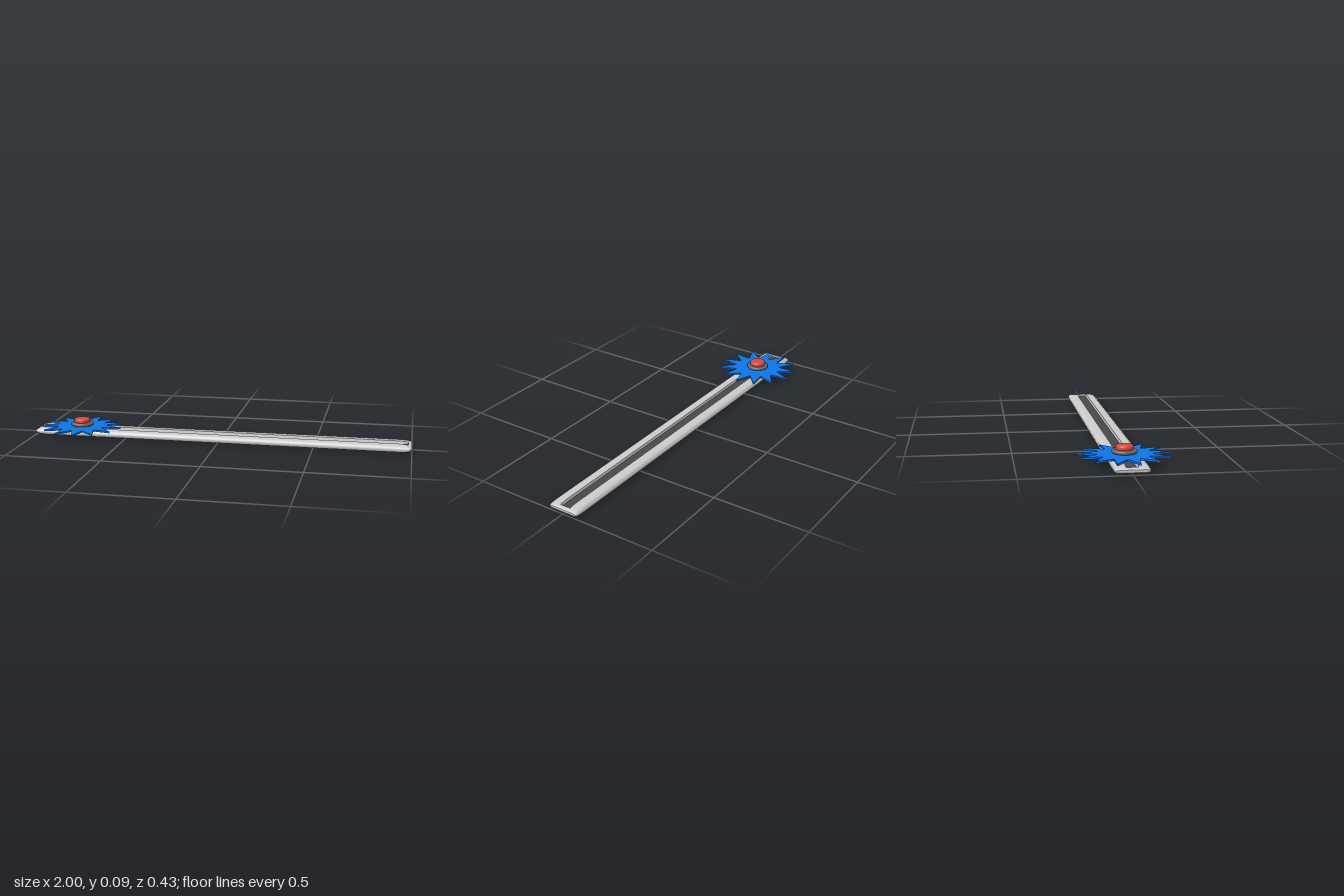
import * as THREE from 'three';
import { toCreasedNormals } from 'three/addons/utils/BufferGeometryUtils.js';

const HUB_X = -0.76;

function part(name, geometry, color = 0xcccccc) {
  const mesh = new THREE.Mesh(geometry, new THREE.MeshStandardMaterial({ color }));
  mesh.name = name;
  return mesh;
}

// Closed cross-section of the rail at one station, as [z, y] pairs
function railSection({ half, low, high, floor }) {
  const h = high - low;
  const side = [[0.7, 0], [0.86, 0.05], [0.95, 0.17], [1, 0.35], [1, 0.65], [0.95, 0.83], [0.85, 0.95], [0.7, 1]]
    .map(([z, y]) => [z * half, low + y * h]);
  const slot = [[0.028, high], [0.025, floor], [-0.025, floor], [-0.028, high]];
  const mirrored = side.map(([z, y]) => [-z, y]);
  return [...mirrored, ...slot.reverse(), ...side.reverse()];
}

function railGeometry() {
  // Half-length stations: the ends taper, and the slot stops short of them
  const half = [
    { x: 0, half: 0.08, low: 0, high: 0.036, floor: 0.02 },
    { x: 0.94, half: 0.08, low: 0, high: 0.036, floor: 0.02 },
    { x: 0.965, half: 0.08, low: 0.002, high: 0.034, floor: 0.02 },
    { x: 0.98, half: 0.08, low: 0.004, high: 0.032, floor: 0.02 },
    { x: 0.981, half: 0.08, low: 0.004, high: 0.032, floor: 0.032 },
    { x: 0.995, half: 0.079, low: 0.008, high: 0.028, floor: 0.028 },
    { x: 1, half: 0.076, low: 0.012, high: 0.024, floor: 0.024 },
  ];
  const stations = [...half.slice(1).reverse().map((s) => ({ ...s, x: -s.x })), ...half];
  const positions = [], index = [];
  let count = 0;
  for (const s of stations) {
    const section = railSection(s);
    count = section.length;
    for (const [z, y] of section) positions.push(s.x, y, z);
  }
  const last = stations.length - 1;
  for (let i = 0; i < last; i++) {
    for (let j = 0; j < count; j++) {
      const k = (j + 1) % count;
      const a = i * count + j, b = i * count + k, c = a + count, d = b + count;
      index.push(a, b, c, b, d, c);
    }
  }
  // End caps
  for (let j = 1; j < count - 1; j++) {
    index.push(0, j + 1, j);
    index.push(last * count, last * count + j, last * count + j + 1);
  }
  const geometry = new THREE.BufferGeometry();
  geometry.setAttribute('position', new THREE.Float32BufferAttribute(positions, 3));
  geometry.setIndex(index);
  return toCreasedNormals(geometry, 0.75);
}

// Thin star-shaped disc with thirteen pointed teeth
function bladeGeometry() {
  const teeth = 13, phase = THREE.MathUtils.degToRad(-3.2);
  const points = [];
  for (let i = 0; i < teeth * 2; i++) {
    const angle = phase + (i * Math.PI) / teeth;
    const radius = i % 2 ? 0.125 : 0.218;
    points.push(new THREE.Vector2(Math.cos(angle) * radius, Math.sin(angle) * radius));
  }
  const geometry = new THREE.ExtrudeGeometry(new THREE.Shape(points), { depth: 0.009, bevelEnabled: false });
  return geometry.rotateX(-Math.PI / 2);
}

// Round disc with a softly rounded rim
function roundedDisc(radius, height, rim) {
  const profile = [new THREE.Vector2(0, 0)];
  for (const [cy, start] of [[rim, -Math.PI / 2], [height - rim, 0]]) {
    for (let i = 0; i <= 6; i++) {
      const a = start + (i / 6) * (Math.PI / 2);
      profile.push(new THREE.Vector2(radius - rim + Math.cos(a) * rim, cy + Math.sin(a) * rim));
    }
  }
  profile.push(new THREE.Vector2(0, height));
  return new THREE.LatheGeometry(profile, 40);
}

export function createModel() {
  const model = new THREE.Group();
  model.name = 'slidingCutter';

  model.add(part('rail', railGeometry()));

  // Dark lining on the floor of the slot
  const lining = part('slotLining', new THREE.BoxGeometry(1.96, 0.004, 0.051), 0x484848);
  lining.position.y = 0.0195;
  model.add(lining);

  // Cutter assembly riding on the rail
  const cutter = new THREE.Group();
  cutter.name = 'cutter';
  cutter.position.x = HUB_X;

  const blade = part('blade', bladeGeometry(), 0x0f75e6);
  blade.position.y = 0.036;

  const pin = part('pin', new THREE.CylinderGeometry(0.02, 0.02, 0.03, 24), 0x666666);
  pin.position.y = 0.034;

  const washer = part('washer', roundedDisc(0.06, 0.018, 0.0088), 0x666666);
  washer.position.y = 0.046;

  const button = part('button', roundedDisc(0.042, 0.028, 0.011), 0xd84a3e);
  button.position.y = 0.058;

  cutter.add(blade, pin, washer, button);
  model.add(cutter);
  return model;
}
